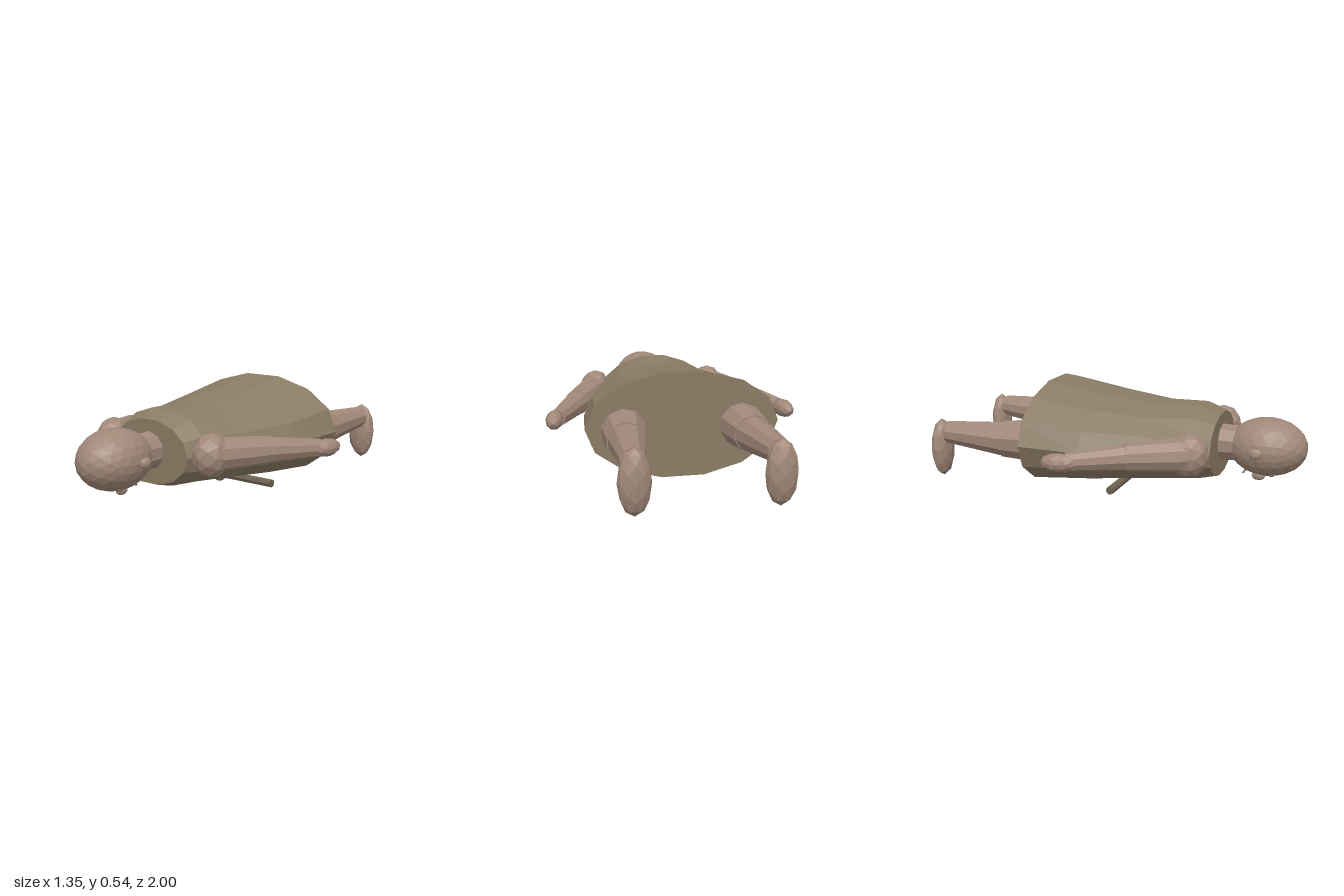
import * as THREE from 'three';

const mat = (color) => new THREE.MeshStandardMaterial({ color, flatShading: true });

export function createModel() {
  const group = new THREE.Group();
  const skin = mat(0xa08878), cloth = mat(0x8a7b64), cord = mat(0x6e6252);

  const add = (name, geometry, material) => {
    const mesh = new THREE.Mesh(geometry, material);
    mesh.name = name;
    group.add(mesh);
    return mesh;
  };

  // Faceted ellipsoid
  const blob = (name, pos, radii, material = skin, detail = 1) => {
    const mesh = add(name, new THREE.IcosahedronGeometry(1, detail), material);
    mesh.position.set(...pos);
    mesh.scale.set(...radii);
    return mesh;
  };

  // Tapered limb from point a to point b
  const limb = (name, a, b, ra, rb, sides = 10, material = skin) => {
    const start = new THREE.Vector3(...a), dir = new THREE.Vector3(...b).sub(start);
    const mesh = add(name, new THREE.CylinderGeometry(rb, ra, dir.length(), sides), material);
    mesh.position.copy(start).addScaledVector(dir, 0.5);
    mesh.quaternion.setFromUnitVectors(new THREE.Vector3(0, 1, 0), dir.normalize());
    return mesh;
  };

  // Closed loft along z through elliptical rings [z, centreY, radiusX, radiusY]
  const loft = (name, rings, sides, material) => {
    const pos = [], index = [], n = rings.length;
    for (const [z, cy, rx, ry] of rings) {
      for (let i = 0; i < sides; i++) {
        const t = (i / sides) * Math.PI * 2;
        pos.push(rx * Math.cos(t), cy + ry * Math.sin(t), z);
      }
    }
    for (let r = 0; r < n - 1; r++) {
      for (let i = 0; i < sides; i++) {
        const j = (i + 1) % sides, a = r * sides + i, b = r * sides + j;
        index.push(a, b, b + sides, a, b + sides, a + sides);
      }
    }
    const last = (n - 1) * sides;
    for (let i = 1; i < sides - 1; i++) {
      index.push(0, i + 1, i, last, last + i, last + i + 1);
    }
    const g = new THREE.BufferGeometry();
    g.setAttribute('position', new THREE.Float32BufferAttribute(pos, 3));
    g.setIndex(index);
    g.computeVertexNormals();
    return add(name, g, material);
  };

  // Long robe of the figure lying face down, head towards +z
  loft('robe', [
    [-0.4, 0.273, 0.5, 0.279],
    [-0.08, 0.26, 0.468, 0.234],
    [0.23, 0.257, 0.375, 0.203],
    [0.45, 0.267, 0.3, 0.2],
    [0.55, 0.258, 0.255, 0.168],
  ], 14, cloth);

  // Body just under the cloth
  loft('torso', [
    [-0.1, 0.26, 0.38, 0.19],
    [0.1, 0.26, 0.365, 0.196],
    [0.22, 0.257, 0.372, 0.199],
    [0.5, 0.262, 0.24, 0.16],
  ], 16, skin);

  // Head and face
  limb('neck', [0, 0.265, 0.5], [0, 0.265, 0.65], 0.1, 0.095);
  blob('head', [0, 0.263, 0.793], [0.163, 0.153, 0.206], skin, 3);
  blob('nose', [0, 0.1, 0.748], [0.02, 0.025, 0.036]);
  limb('mouth', [-0.03, 0.117, 0.673], [0.03, 0.117, 0.673], 0.005, 0.005, 6, cord);

  for (const s of [-1, 1]) {
    const side = s > 0 ? 'left' : 'right';
    blob(side + 'Ear', [s * 0.184, 0.265, 0.766], [0.02, 0.03, 0.035]);
    blob(side + 'Eye', [s * 0.07, 0.132, 0.83], [0.016, 0.01, 0.016], cord);

    // Arms
    blob(side + 'Shoulder', [s * 0.337, 0.272, 0.467], [0.09, 0.112, 0.103]);
    limb(side + 'UpperArm', [s * 0.345, 0.275, 0.45], [s * 0.475, 0.27, 0.18], 0.086, 0.07);
    limb(side + 'Forearm', [s * 0.475, 0.27, 0.18], [s * 0.608, 0.255, -0.08], 0.066, 0.046);
    blob(side + 'Hand', [s * 0.626, 0.254, -0.11], [0.047, 0.048, 0.093]).rotation.y = -s * 0.15;

    // Legs
    limb(side + 'Thigh', [s * 0.303, 0.258, -0.38], [s * 0.317, 0.254, -0.57], 0.117, 0.1);
    limb(side + 'Shin', [s * 0.315, 0.252, -0.55], [s * 0.342, 0.268, -0.905], 0.096, 0.061);
    blob(side + 'Foot', [s * 0.342, 0.178, -0.943], [0.08, 0.161, 0.055]);
  }

  // Cord across the front with knot and hanging end
  limb('beltCord', [-0.415, 0.065, 0.075], [0.415, 0.065, 0.075], 0.021, 0.021, 8, cord);
  blob('beltKnot', [0.068, 0.04, 0.075], [0.024, 0.017, 0.028], cord);
  limb('beltEnd', [0.068, 0.042, 0.08], [0.068, 0.031, -0.07], 0.014, 0.009, 6, cord);

  return group;
}
